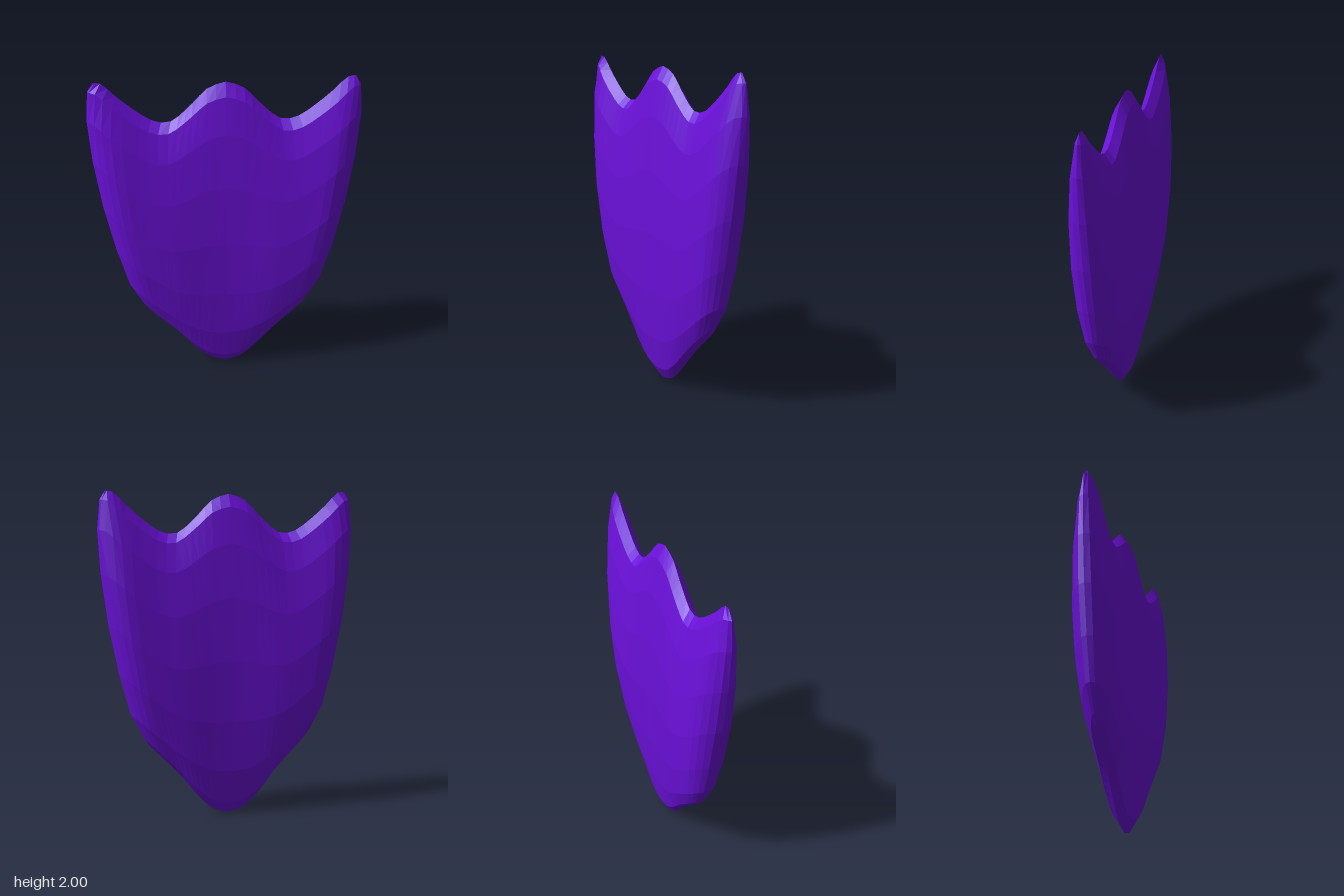
import * as THREE from 'three';

// Half outline of the shield (+x side); the other half is mirrored
const spline = (pts) => new THREE.SplineCurve(pts.map(([x, y]) => new THREE.Vector2(x, y)));
const bottomEdge = spline([[0, 0], [0.1, 0.03], [0.2, 0.125], [0.3, 0.255], [0.4, 0.365], [0.5, 0.47]]);
const sideEdge = spline([[0.5, 0.47], [0.59, 0.62], [0.645, 0.8], [0.69, 1], [0.73, 1.22], [0.765, 1.5], [0.78, 1.75], [0.772, 1.92], [0.73, 2]]);
const topEdge = spline([[0, 1.985], [0.1, 1.95], [0.2, 1.85], [0.29, 1.77], [0.35, 1.752], [0.42, 1.77], [0.5, 1.825], [0.6, 1.91], [0.68, 1.99], [0.73, 2]]);

// Point inside the half outline, blended from its four edges
function outlinePoint(s, v) {
  const b = bottomEdge.getPointAt(s), t = topEdge.getPointAt(s), e = sideEdge.getPointAt(v);
  const blend = (k, centre) => {
    const b0 = bottomEdge.points[0][k], t0 = topEdge.points[0][k];
    const b1 = sideEdge.points[0][k], t1 = sideEdge.points.at(-1)[k];
    return (1 - v) * b[k] + v * t[k] + (1 - s) * centre + s * e[k]
      - ((1 - s) * ((1 - v) * b0 + v * t0) + s * ((1 - v) * b1 + v * t1));
  };
  return [blend('x', 0), blend('y', (1 - v) * bottomEdge.points[0].y + v * topEdge.points[0].y)];
}

// Half thickness: elliptical in height, rounded at the sides, slightly waisted in the middle
function halfDepth(s, angle) {
  const r = Math.max(0, (s - 0.75) / 0.25);
  const base = 0.11 + 0.012 * THREE.MathUtils.smoothstep(s, 0, 0.45);
  return base * Math.sin(angle) * Math.sqrt(Math.max(0, 1 - r * r));
}

function shieldGeometry() {
  const rows = 8, half = [];
  for (let i = 0; i <= 12; i++) half.push(0.75 * i / 12);
  for (let i = 1; i <= 5; i++) half.push(0.75 + 0.25 * Math.sin(i * Math.PI / 10));
  const columns = [...half.slice(1).reverse().map((s) => -s), ...half];
  const n = columns.length, positions = [], index = [];

  // Front sheet, then back sheet, meeting along the outline
  for (const face of [1, -1]) {
    const start = positions.length / 3;
    for (let j = 0; j <= rows; j++) {
      const angle = Math.PI * j / rows, v = (1 - Math.cos(angle)) / 2;
      for (const u of columns) {
        const s = Math.abs(u), [x, y] = outlinePoint(s, v);
        positions.push(Math.sign(u) * x, y, face * halfDepth(s, angle));
      }
    }
    for (let j = 0; j < rows; j++) {
      for (let i = 0; i < n - 1; i++) {
        const a = start + j * n + i, b = a + 1, c = b + n, d = a + n;
        if (face > 0) index.push(a, b, c, a, c, d);
        else index.push(a, c, b, a, d, c);
      }
    }
  }
  const geometry = new THREE.BufferGeometry();
  geometry.setAttribute('position', new THREE.Float32BufferAttribute(positions, 3));
  geometry.setIndex(index);
  geometry.computeVertexNormals();
  return geometry;
}

export function createModel() {
  const group = new THREE.Group();
  group.name = 'shield';
  const material = new THREE.MeshStandardMaterial({ color: 0x6a10d8, flatShading: true });
  const body = new THREE.Mesh(shieldGeometry(), material);
  body.name = 'shieldBody';
  group.add(body);
  return group;
}
